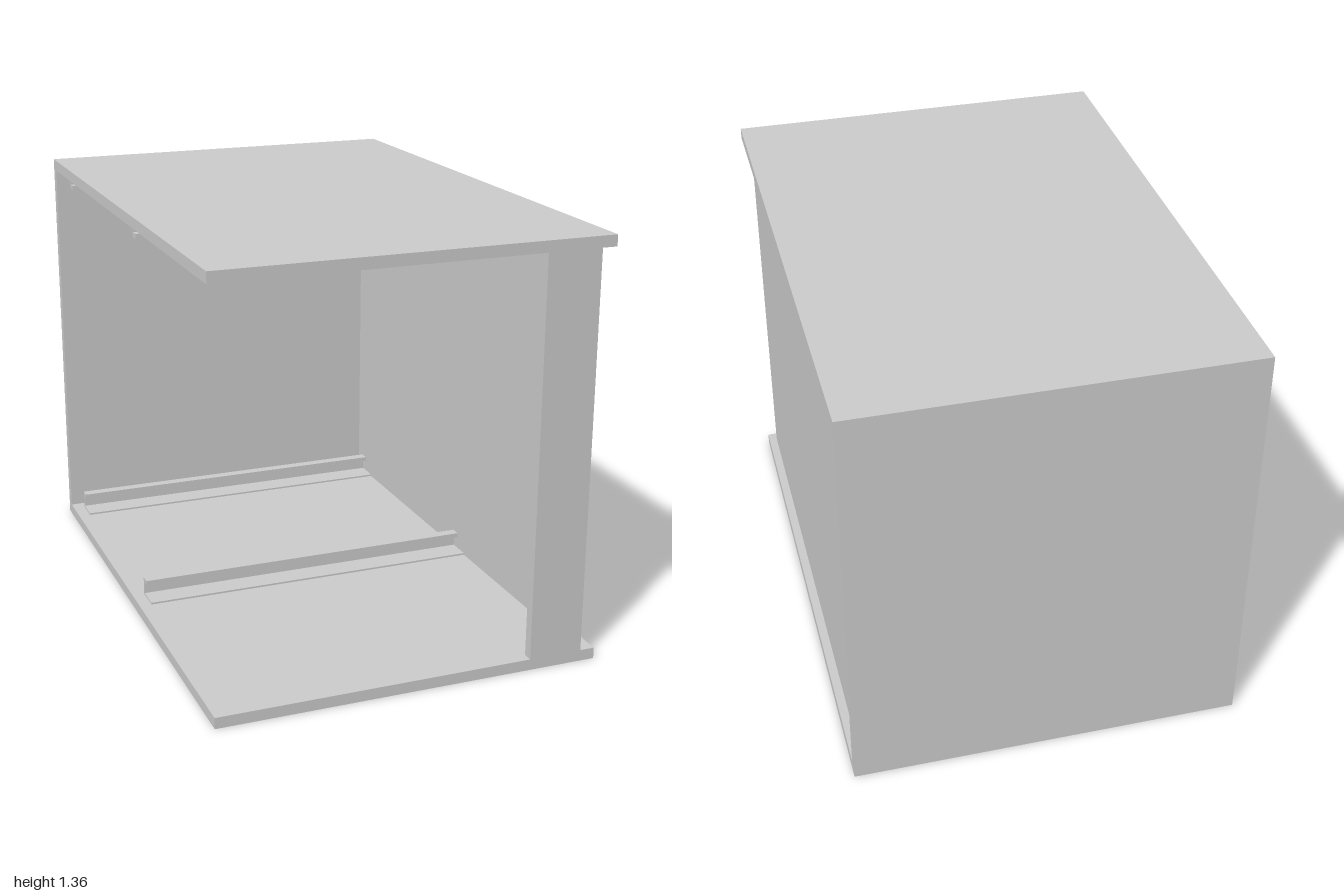
import * as THREE from 'three';

export function createModel() {
  const model = new THREE.Group();
  model.name = 'cabinet';
  const mat = new THREE.MeshStandardMaterial({ color: 0xcccccc, flatShading: true });

  const H = 1.36, T = 0.036;      // overall height, plate thickness
  const U = 0.625, W = 0.9;       // half width and half depth

  // Box given by its limits on each axis
  function slab(parent, name, [x0, x1], [y0, y1], [z0, z1]) {
    const mesh = new THREE.Mesh(new THREE.BoxGeometry(x1 - x0, y1 - y0, z1 - z0), mat);
    mesh.position.set((x0 + x1) / 2, (y0 + y1) / 2, (z0 + z1) / 2);
    mesh.name = name;
    parent.add(mesh);
  }

  // Cabinet shell: open at the front and on one side
  const inner = [T, H - T];
  slab(model, 'bottomPlate', [-U, U], [0, T], [-W, W]);
  slab(model, 'topPlate', [-U, U], [H - T, H], [-W, W]);
  slab(model, 'backPanel', [-U, U], inner, [-W, -0.867]);
  slab(model, 'sideWall', [0.565, 0.597], inner, [-0.867, 0.867]);
  slab(model, 'frontStile', [0.4, 0.577], inner, [0.867, W]);

  // Guide rails across floor and ceiling: foot, web and lip
  const along = [-0.585, 0.565];
  for (const end of ['lower', 'upper']) {
    for (const [place, z] of [['Middle', 0.01], ['Rear', -0.83]]) {
      const rail = new THREE.Group();
      rail.name = `${end}${place}Rail`;
      const span = (a, b) => (end === 'lower' ? [T + a, T + b] : [H - T - b, H - T - a]);
      slab(rail, 'railFoot', along, span(0, 0.006), [z, z + 0.09]);
      slab(rail, 'railWeb', along, span(0.006, 0.045), [z, z + 0.008]);
      slab(rail, 'railLip', along, span(0.045, 0.061), [z, z + 0.035]);
      model.add(rail);
    }
  }

  // The whole cabinet stands slightly turned
  model.rotation.y = -0.181;
  const group = new THREE.Group();
  group.name = 'turnedCabinet';
  group.add(model);
  return group;
}
